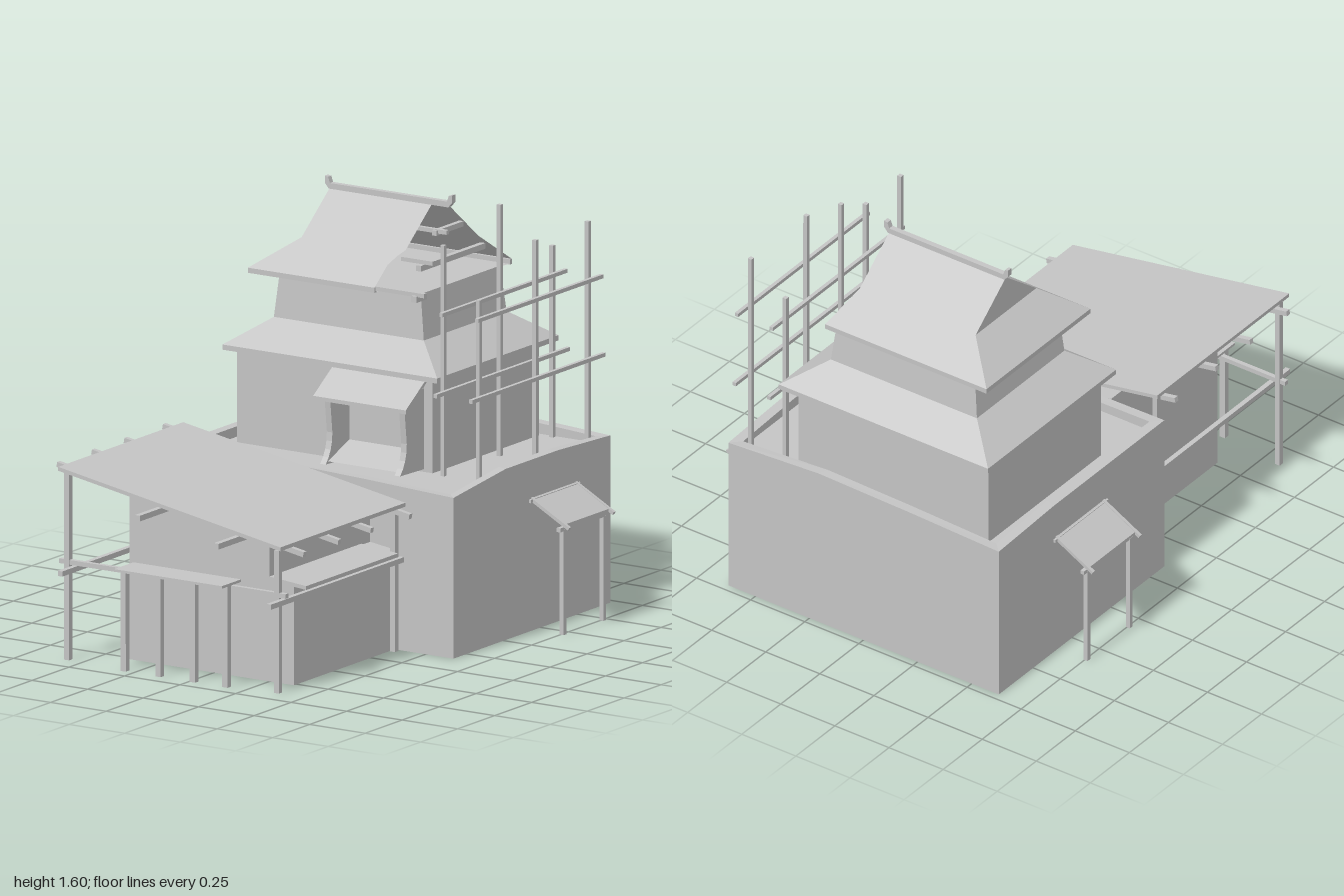
import * as THREE from 'three';

const stone = new THREE.MeshStandardMaterial({ color: 0xc4c4c4, side: THREE.DoubleSide });
stone.name = 'plain grey';

export function createModel() {
  const model = new THREE.Group();
  model.name = 'castleUnderConstruction';

  const add = (geo, name) => {
    const m = new THREE.Mesh(geo, stone);
    m.name = name;
    model.add(m);
    return m;
  };
  const faceted = (tris, name) => {
    const g = new THREE.BufferGeometry();
    g.setAttribute('position', new THREE.Float32BufferAttribute(tris.flat(), 3));
    g.computeVertexNormals();
    return add(g, name);
  };
  // fan of triangles around the middle of a flat outline
  const fan = (pts) => {
    const c = [0, 1, 2].map((k) => pts.reduce((s, p) => s + p[k], 0) / pts.length);
    return pts.flatMap((p, i) => [c, p, pts[(i + 1) % pts.length]]);
  };
  const panels = (name, ...outlines) => faceted(outlines.flatMap(fan), name);
  // skin stretched over a stack of matching rings
  const loft = (name, rings, cap = true) => {
    const t = [];
    for (let i = 0; i + 1 < rings.length; i++) {
      const a = rings[i], b = rings[i + 1], n = a.length;
      for (let j = 0; j < n; j++) {
        const k = (j + 1) % n;
        t.push(a[j], a[k], b[k], a[j], b[k], b[j]);
      }
    }
    if (cap) t.push(...fan(rings[rings.length - 1]));
    return faceted(t, name);
  };
  const rect = (x0, x1, z0, z1, y, yRight = y) =>
    [[x0, y, z1], [x1, yRight, z1], [x1, yRight, z0], [x0, y, z0]];
  // square timber between two points
  const bar = (name, a, b, w = 0.022) => {
    const p = new THREE.Vector3(...a), q = new THREE.Vector3(...b);
    const m = add(new THREE.BoxGeometry(w, w, p.distanceTo(q)), name);
    m.position.copy(p).lerp(q, 0.5);
    m.lookAt(q);
    return m;
  };

  // stone base with an uneven parapet, open below
  const heights = [
    [0.66, 0.655, 0.64], [0.62, 0.66, 0.66], [0.645, 0.67, 0.66], [0.645, 0.66, 0.66],
  ];
  const rim = (inset, y) => {
    const c = rect(-0.625 + inset, 0.625 - inset, -0.97 + inset, 0.09 - inset, 0);
    return heights.flatMap((h, s) => h.map((top, i) => {
      const a = c[s], b = c[(s + 1) % 4], t = i / 3;
      return [a[0] + (b[0] - a[0]) * t, y ?? top, a[2] + (b[2] - a[2]) * t];
    }));
  };
  loft('stoneBase', [rim(0, 0), rim(0), rim(0.04), rim(0.04, 0.62)]);

  // front building with a stepped right side, open below
  loft('frontBuilding', [
    rect(-0.38, 0.36, 0.09, 0.77, 0), rect(-0.38, 0.36, 0.09, 0.77, 0.385),
    rect(-0.38, 0.25, 0.09, 0.77, 0.4), rect(-0.38, 0.25, 0.09, 0.77, 0.66, 0.56),
  ]);
  loft('sideLedge', [
    rect(0.25, 0.415, 0.15, 0.77, 0.39, 0.375), rect(0.25, 0.415, 0.15, 0.77, 0.405, 0.39),
  ]);

  // leaning canopy with its rafters, purlins and posts
  loft('canopyRoof', [
    rect(-0.585, 0.415, 0.1, 0.945, 0.735, 0.56), rect(-0.585, 0.415, 0.1, 0.945, 0.75, 0.575),
  ]);
  for (const z of [0.14, 0.4, 0.62, 0.855])
    bar('canopyRafter', [-0.645, 0.735, z], [0.465, 0.537, z], 0.02);
  for (const [x, y] of [[-0.195, 0.615], [0.16, 0.555]])
    bar('canopyPurlin', [x, y, 0.77], [x, y, 0.995]);
  for (const z of [0.115, 0.9]) {
    bar('canopyPost', [-0.57, 0, z], [-0.57, 0.73, z]);
    bar('canopyPost', [0.375, 0, z], [0.375, 0.55, z]);
  }
  bar('frontRail', [-0.605, 0.378, 0.9], [0.415, 0.378, 0.9], 0.018);
  for (const x of [-0.54, 0.4]) bar('sideRail', [x, 0.355, 0.1], [x, 0.355, 1], 0.02);

  // low shelf on four short posts
  loft('frontShelf', [rect(-0.31, 0.175, 0.85, 0.98, 0.39), rect(-0.31, 0.175, 0.85, 0.98, 0.4)]);
  for (const x of [-0.295, -0.138, 0.017, 0.163])
    bar('shelfPost', [x, 0, 0.93], [x, 0.39, 0.93], 0.024);

  // keep: lower storey, skirt roof, upper storey
  loft('lowerStorey', [rect(-0.535, 0.345, -0.91, -0.19, 0.61), rect(-0.535, 0.345, -0.91, -0.19, 0.985)], false);
  loft('skirtRoof', [
    rect(-0.535, 0.345, -0.91, -0.19, 0.98), rect(-0.575, 0.392, -0.97, -0.15, 0.98),
    rect(-0.575, 0.392, -0.97, -0.15, 1.0), rect(-0.43, 0.245, -0.84, -0.28, 1.1),
  ], false);
  loft('upperStorey', [rect(-0.43, 0.245, -0.84, -0.28, 1.1), rect(-0.41, 0.225, -0.825, -0.29, 1.275)]);

  // top roof, unfinished at the front right corner
  const zm = -0.557, zb = -0.89, zf = -0.225;
  const on = (x, y, side) => [x, y, zm + side * (1.555 - y) * 1.255];
  panels('backSlope', [
    on(0.235, 1.29, -1), on(-0.51, 1.29, -1), on(-0.36, 1.4, -1),
    on(-0.36, 1.555, -1), on(0.175, 1.555, -1), on(0.175, 1.4, -1),
  ]);
  panels('frontSlope', [
    on(-0.51, 1.29, 1), on(0.06, 1.29, 1), on(0.06, 1.36, 1), on(0.08, 1.39, 1),
    on(0.1, 1.41, 1), on(0.1, 1.555, 1), on(-0.36, 1.555, 1), on(-0.36, 1.4, 1),
  ]);
  panels('leftHipAndGable',
    [on(-0.51, 1.29, -1), on(-0.51, 1.29, 1), on(-0.36, 1.4, 1), on(-0.36, 1.4, -1)],
    [on(-0.36, 1.4, -1), on(-0.36, 1.4, 1), on(-0.36, 1.555, 1)]);
  // eave boards and soffits
  const strip = (x0, x1, z0, z1) =>
    loft('eave', [rect(x0, x1, z0, z1, 1.27), rect(x0, x1, z0, z1, 1.29)]).geometry;
  strip(-0.51, 0.06, zf - 0.012, zf);
  strip(-0.51, 0.235, zb, zb + 0.012);
  strip(-0.51, -0.498, zb, zf);
  panels('soffit',
    [[-0.51, 1.272, zf], [-0.41, 1.272, -0.29], [0.06, 1.272, -0.29], [0.06, 1.272, zf]],
    [[-0.51, 1.272, zb], [0.235, 1.272, zb], [0.225, 1.272, -0.825], [-0.41, 1.272, -0.825]],
    [[-0.51, 1.272, zb], [-0.41, 1.272, -0.825], [-0.41, 1.272, -0.29], [-0.51, 1.272, zf]]);

  // ridge with upturned ends
  const ridge = new THREE.Shape([
    [-0.36, 1.55], [0.178, 1.55], [0.195, 1.57], [0.195, 1.598], [0.18, 1.595], [0.172, 1.572],
    [-0.355, 1.572], [-0.363, 1.595], [-0.378, 1.598], [-0.378, 1.57],
  ].map((p) => new THREE.Vector2(...p)));
  add(new THREE.ExtrudeGeometry(ridge, { depth: 0.022, bevelEnabled: false }), 'ridge')
    .position.z = zm - 0.011;

  // bare timbers in the roof gap
  bar('roofBeam', [0.08, 1.47, -0.49], [0.213, 1.47, -0.49], 0.016);
  bar('roofBeam', [0.07, 1.37, -0.395], [0.213, 1.37, -0.395], 0.016);
  bar('roofBeam', [0.05, 1.285, -0.24], [0.277, 1.285, -0.24], 0.016);
  bar('roofBeam', [0.24, 1.27, -0.29], [0.24, 1.27, -0.22], 0.024);
  bar('roofTie', [0.165, 1.35, -0.8], [0.165, 1.35, -0.365], 0.022);
  bar('roofTie', [0.165, 1.465, -0.655], [0.165, 1.465, -0.47], 0.02);

  // bay on the keep front: curved cheeks, sill and small roof
  const cheek = new THREE.Shape();
  cheek.moveTo(0.2, 0.63);
  cheek.lineTo(0.03, 0.635);
  cheek.quadraticCurveTo(0.075, 0.68, 0.075, 0.75);
  cheek.lineTo(0.06, 0.88);
  cheek.lineTo(0.2, 0.95);
  for (const x of [-0.03, 0.305]) {
    const m = add(new THREE.ExtrudeGeometry(cheek, { depth: 0.025, bevelEnabled: false, curveSegments: 4 }), 'bayCheek');
    m.rotation.y = Math.PI / 2;
    m.position.x = x - 0.025;
    m.scale.x = 1;
  }
  panels('baySill', [[-0.03, 0.645, -0.045], [0.28, 0.645, -0.045], [0.28, 0.7, -0.19], [-0.03, 0.7, -0.19]]);
  const bayRing = (d) => [
    [-0.1, 0.872 + d, -0.05], [0.317, 0.872 + d, -0.05], [0.317, 0.965 + d, -0.19], [-0.1, 0.965 + d, -0.19],
  ];
  loft('bayRoof', [bayRing(0).reverse(), bayRing(0), bayRing(0.015)]);

  // scaffold beside the keep
  const rows = [[0.4, [1.51, 1.59, 1.36]], [0.56, [1.32, 1.475, 1.475]]];
  for (const [x, tops] of rows) {
    [-0.18, -0.56, -0.915].forEach((z, i) => bar('scaffoldPole', [x, 0.61, z], [x, tops[i], z], 0.017));
    bar('scaffoldRail', [x + 0.016, 0.945, -1], [x + 0.016, 0.945, -0.1], 0.015);
    bar('scaffoldRail', [x + 0.016, 1.25, -0.985], [x + 0.016, 1.25, -0.14], 0.015);
  }

  // lean-to shelters on both flanks
  for (const [s, z] of [[1, -0.59], [-1, -0.45]]) {
    const ring = (d) => {
      const r = rect(0.62, 0.775, z - 0.15, z + 0.15, 0.505 + d, 0.42 + d).map(([x, y, w]) => [s * x, y, w]);
      return s < 0 ? r.reverse() : r;
    };
    loft('shelterRoof', [ring(0), ring(0.01)]);
    for (const e of [-0.15, 0.15]) bar('shelterRafter', [s * 0.62, 0.51, z + e], [s * 0.795, 0.415, z + e], 0.013);
    bar('shelterHeadRail', [s * 0.628, 0.503, z - 0.17], [s * 0.628, 0.503, z + 0.17], 0.013);
    bar('shelterEaveRail', [s * 0.755, 0.408, z - 0.165], [s * 0.755, 0.408, z + 0.165], 0.016);
    for (const e of [-0.135, 0.135]) bar('shelterPost', [s * 0.755, 0, z + e], [s * 0.755, 0.405, z + e], 0.018);
  }

  return model;
}
